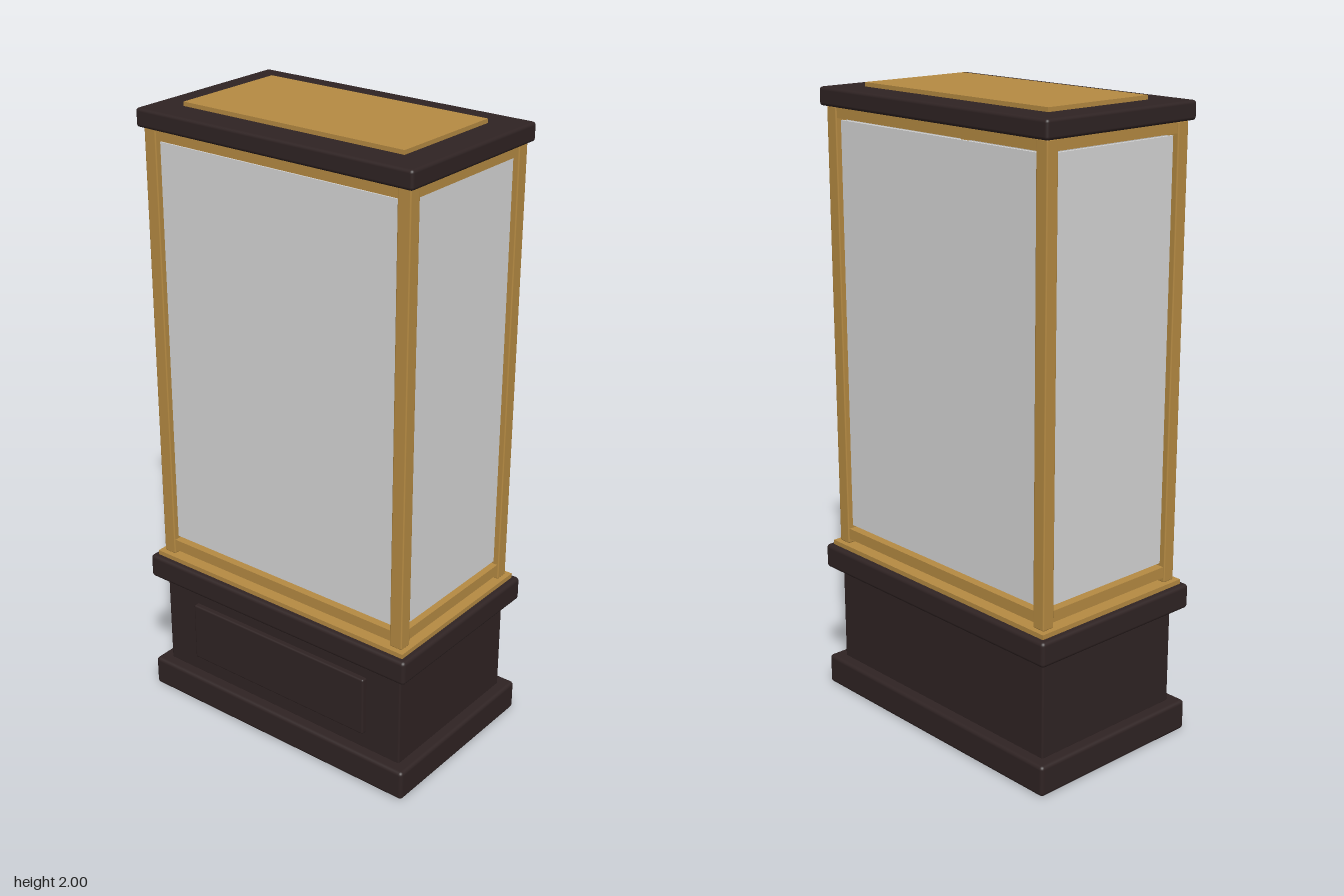
import * as THREE from 'three';
import { RoundedBoxGeometry } from 'three/addons/geometries/RoundedBoxGeometry.js';

export function createModel() {
  const wood = new THREE.MeshStandardMaterial({ name: 'darkWood', color: 0x2f2323 });
  const brass = new THREE.MeshStandardMaterial({ name: 'brass', color: 0xb58a42 });
  const glass = new THREE.MeshStandardMaterial({ name: 'paleGlass', color: 0xd6d6d6 });
  const model = new THREE.Group();
  model.name = 'displayCase';

  function add(name, geometry, material, x, y, z) {
    const mesh = new THREE.Mesh(geometry, material);
    mesh.name = name;
    mesh.position.set(x, y, z);
    model.add(mesh);
  }
  // Box given by its half width, half depth and bottom and top heights
  function slab(name, material, hx, hz, y0, y1, { x = 0, z = 0, r = 0 } = {}) {
    const size = [2 * hx, y1 - y0, 2 * hz];
    const geometry = r ? new RoundedBoxGeometry(...size, 3, r) : new THREE.BoxGeometry(...size);
    add(name, geometry, material, x, (y0 + y1) / 2, z);
  }

  // Wooden pedestal with a raised front panel
  slab('plinth', wood, 0.513, 0.315, 0, 0.1, { r: 0.012 });
  slab('pedestalBody', wood, 0.474, 0.276, 0.095, 0.425, { r: 0.006 });
  slab('frontPanel', wood, 0.347, 0.015, 0.16, 0.36, { z: 0.279, r: 0.006 });
  slab('pedestalTop', wood, 0.513, 0.315, 0.42, 0.5, { r: 0.012 });
  slab('floorPlate', brass, 0.493, 0.296, 0.5, 0.515);

  // Round stand and its pin inside the case
  add('standDisc', new THREE.CylinderGeometry(0.157, 0.157, 0.02, 48), brass, 0, 0.525, -0.027);
  add('standPin', new THREE.CylinderGeometry(0.014, 0.014, 0.045, 16), wood, 0, 0.553, -0.027);

  // Corner posts
  const px = 0.456, pz = 0.259;
  for (const sx of [-1, 1]) for (const sz of [-1, 1]) {
    slab('cornerPost', brass, 0.022, 0.021, 0.515, 1.93, { x: sx * px, z: sz * pz, r: 0.004 });
  }

  // Rails and glass panes on all four sides
  for (const s of [-1, 1]) {
    for (const [y0, y1] of [[0.53, 0.566], [1.896, 1.93]]) {
      slab('longRail', brass, 0.436, 0.017, y0, y1, { z: s * pz });
      slab('sideRail', brass, 0.017, 0.24, y0, y1, { x: s * px });
    }
    slab('longPane', glass, 0.432, 0.004, 0.576, 1.889, { z: s * pz });
    slab('sidePane', glass, 0.004, 0.236, 0.576, 1.889, { x: s * px });
  }

  // Wooden cap with a brass inlay
  slab('cap', wood, 0.494, 0.297, 1.93, 1.987, { r: 0.01 });
  slab('capInlay', brass, 0.395, 0.197, 1.98, 2);

  return model;
}
